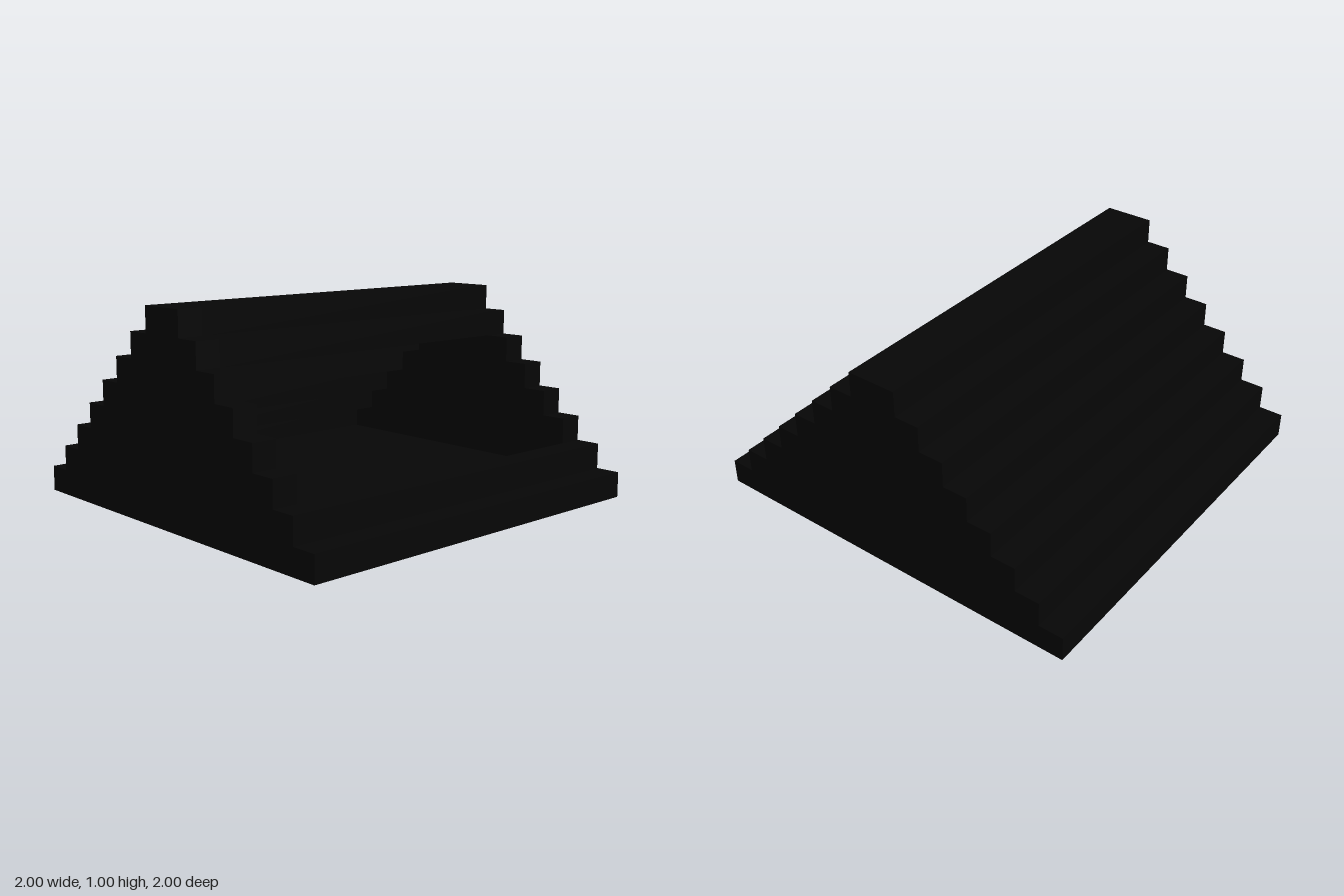
import * as THREE from 'three';

const U = 0.125;   // block size: every step is one block high and deep
const STEPS = 8;
const INNER = 2 - 2 * U; // length between the end walls

export function createModel() {
  const group = new THREE.Group();
  const material = new THREE.MeshStandardMaterial({ color: 0x060606, flatShading: true });

  const add = (name, geometry, x, y, z) => {
    const mesh = new THREE.Mesh(geometry, material);
    mesh.name = name;
    mesh.position.set(x, y, z);
    group.add(mesh);
  };

  // Floor slab, also the lowest step
  add('floorSlab', new THREE.BoxGeometry(2, U, INNER), 0, U / 2, 0);

  // Stepped end walls, one block thick
  const outline = [];
  for (let k = 0; k < STEPS; k++) {
    const half = 1 - k * U;
    outline.push(new THREE.Vector2(half, k * U), new THREE.Vector2(half, (k + 1) * U));
  }
  const mirrored = outline.map(p => new THREE.Vector2(-p.x, p.y)).reverse();
  const wall = new THREE.ExtrudeGeometry(new THREE.Shape([...outline, ...mirrored]),
    { depth: U, bevelEnabled: false });
  add('frontWall', wall, 0, 0, 1 - U);
  add('backWall', wall, 0, 0, -1);

  // Roof steps: closed on the right, with a wide opening on the left
  const step = new THREE.BoxGeometry(U, U, INNER);
  for (let k = 1; k < STEPS; k++) {
    const x = 1 - (k + 0.5) * U;
    const y = (k + 0.5) * U;
    add('rightStep', step, -x, y, 0);
    const open = k >= 2 && k <= 5;
    if (!open) add('leftStep', step, x, y, 0);
  }
  return group;
}
